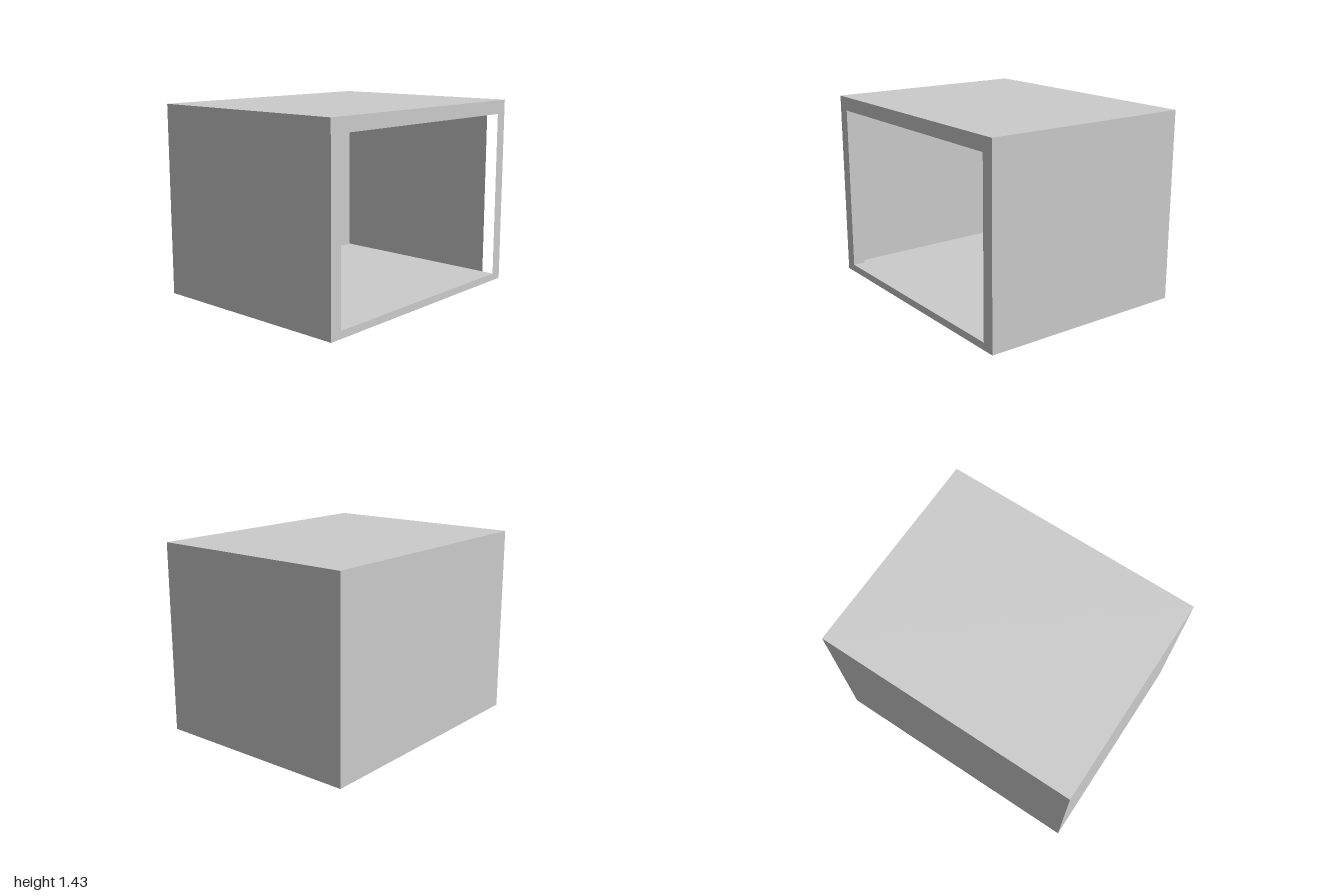
import * as THREE from 'three';

const X = 1, H = 1.43, Z = 0.805;                       // outer half width, height, half depth
const IN = 0.905, FLOOR = 0.055, CEIL = 1.325, D = 0.71; // cavity limits
const PANE = 0.04;                                      // side panel thickness

// Rectangle with an optional rectangular hole, each given as [left, bottom, right, top]
function sheet(outer, hole) {
  const rect = (T, [l, b, r, t]) =>
    new T([[l, b], [r, b], [r, t], [l, t]].map(([x, y]) => new THREE.Vector2(x, y)));
  const shape = rect(THREE.Shape, outer);
  if (hole) shape.holes.push(rect(THREE.Path, hole));
  return new THREE.ShapeGeometry(shape);
}

export function createModel() {
  const group = new THREE.Group();
  const material = new THREE.MeshStandardMaterial({ color: 0xcccccc });
  const add = (name, geometry) => {
    const mesh = new THREE.Mesh(geometry, material);
    mesh.name = name;
    group.add(mesh);
  };
  const q = Math.PI / 2;

  // Outer skin: the front has the main opening, the side at -x a window
  add('frontFrame', sheet([-X, 0, X, H], [-IN, FLOOR, IN, CEIL]).translate(0, 0, Z));
  add('backOutside', sheet([-X, 0, X, H]).rotateY(2 * q).translate(0, 0, -Z));
  add('rightOutside', sheet([-Z, 0, Z, H]).rotateY(q).translate(X, 0, 0));
  add('windowSideOutside', sheet([-Z, 0, Z, H], [-D, FLOOR, D, CEIL]).rotateY(-q).translate(-X, 0, 0));
  add('topOutside', sheet([-X, -Z, X, Z]).rotateX(-q).translate(0, H, 0));
  add('bottomOutside', sheet([-X, -Z, X, Z]).rotateX(q));

  // Cavity lining
  add('cavityFloor', sheet([-IN, -Z, IN, D]).rotateX(-q).translate(0, FLOOR, 0));
  add('cavityCeiling', sheet([-IN, -D, IN, Z]).rotateX(q).translate(0, CEIL, 0));
  add('cavityBack', sheet([-X, FLOOR, IN, CEIL]).translate(0, 0, -D));
  add('cavityWall', sheet([-Z, FLOOR, D, CEIL]).rotateY(-q).translate(IN, 0, 0));

  // Front post beside the window and the recess behind it
  add('frontPostInside', sheet([-Z, FLOOR, -D, CEIL]).rotateY(q).translate(-IN, 0, 0));
  add('frontPostBack', sheet([IN, FLOOR, X, CEIL]).rotateY(2 * q).translate(0, 0, D));
  add('windowSill', sheet([-X, -D, -IN, D]).rotateX(-q).translate(0, FLOOR, 0));
  add('windowHead', sheet([-X, -D, -IN, D]).rotateX(q).translate(0, CEIL, 0));

  // Panel set flush in the window
  add('sidePanel', new THREE.BoxGeometry(PANE, CEIL - FLOOR, 2 * D)
    .translate(-X + PANE / 2, (FLOOR + CEIL) / 2, 0));

  return group;
}
